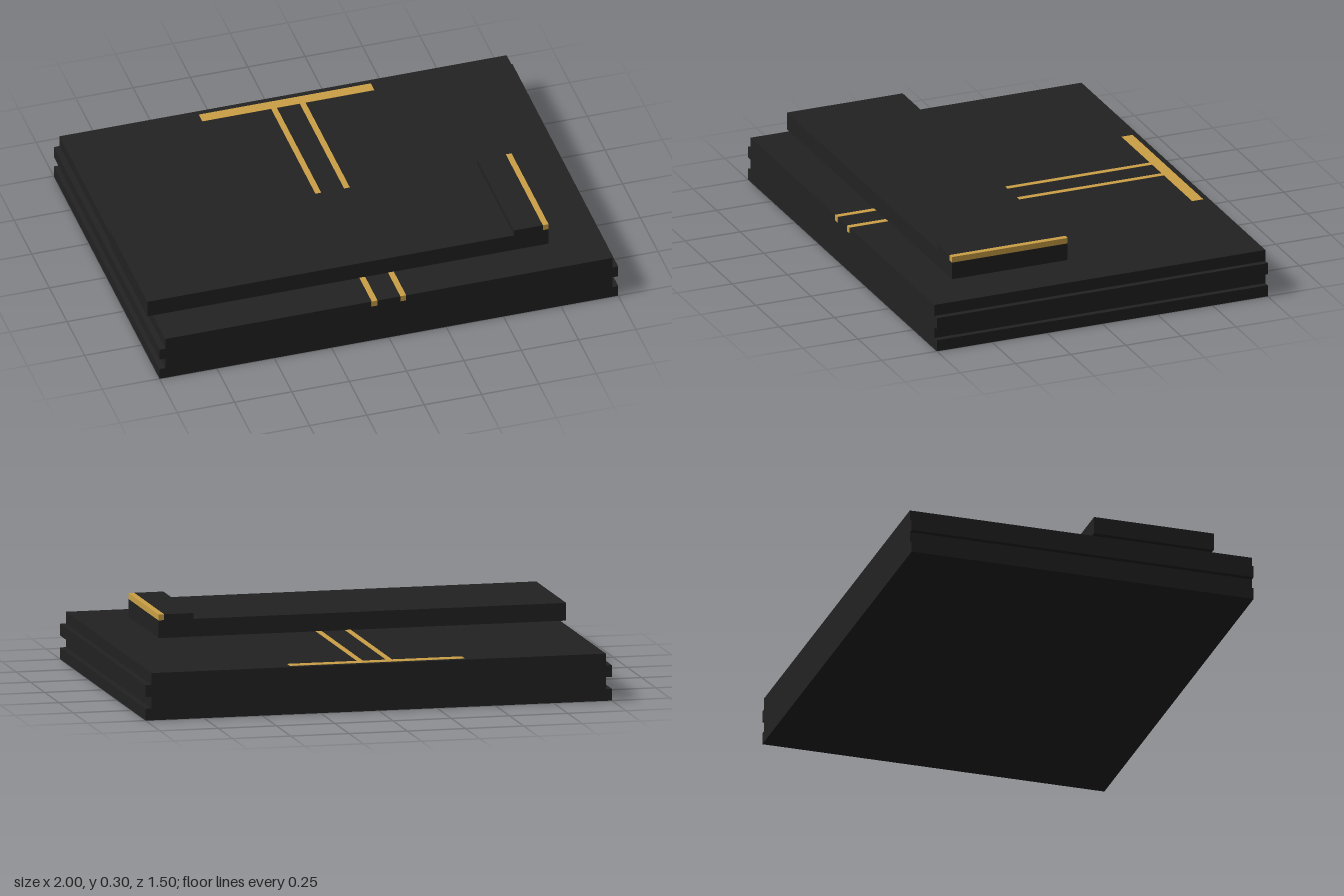
import * as THREE from 'three';

const black = new THREE.MeshStandardMaterial({ color: 0x222222 });
black.name = 'black';
const gold = new THREE.MeshStandardMaterial({ color: 0xcca146 });
gold.name = 'gold';

// Box given by its minimum and maximum corners
function box(name, material, [x0, y0, z0], [x1, y1, z1]) {
  const mesh = new THREE.Mesh(new THREE.BoxGeometry(x1 - x0, y1 - y0, z1 - z0), material);
  mesh.position.set((x0 + x1) / 2, (y0 + y1) / 2, (z0 + z1) / 2);
  mesh.name = name;
  return mesh;
}

// Side profile in x and y, extruded from z0 to z1
function extrude(name, points, z0, z1) {
  const shape = new THREE.Shape(points.map(([x, y]) => new THREE.Vector2(x, y)));
  const geometry = new THREE.ExtrudeGeometry(shape, { depth: z1 - z0, bevelEnabled: false });
  const mesh = new THREE.Mesh(geometry.translate(0, 0, z0), black);
  mesh.name = name;
  return mesh;
}

export function createModel() {
  const model = new THREE.Group();
  model.name = 'slabModel';

  // Base with stepped, grooved ends on the left and right
  const side = [[1, 0], [1, 0.05], [0.975, 0.05], [0.975, 0.1], [1, 0.1], [1, 0.15], [0.975, 0.15], [0.975, 0.2]];
  const mirrored = side.map(([x, y]) => [-x, y]).reverse();
  model.add(extrude('base', [...side, ...mirrored], -0.75, 0.75));

  // Raised slab with a thicker end that leaves a seat for the gold trim
  model.add(extrude('raisedSlab', [
    [-1, 0.2], [0.75, 0.2], [0.75, 0.275], [0.725, 0.275],
    [0.725, 0.3], [0.6, 0.3], [0.6, 0.275], [-1, 0.275],
  ], 0.05, 0.575));
  model.add(box('slabTrim', gold, [0.725, 0.275, 0.05], [0.75, 0.3, 0.575]));

  // Gold inlays: a crossbar near the back and two rails running to the front face
  const top = 0.201;
  model.add(box('crossbarInlay', gold, [-0.375, 0.175, -0.725], [0.375, top, -0.675]));
  for (const s of [-1, 1]) {
    const x = s * 0.0625;
    model.add(box(s > 0 ? 'leftRailInlay' : 'rightRailInlay', gold,
      [x - 0.0125, 0.175, -0.675], [x + 0.0125, top, 0.751]));
  }
  return model;
}
